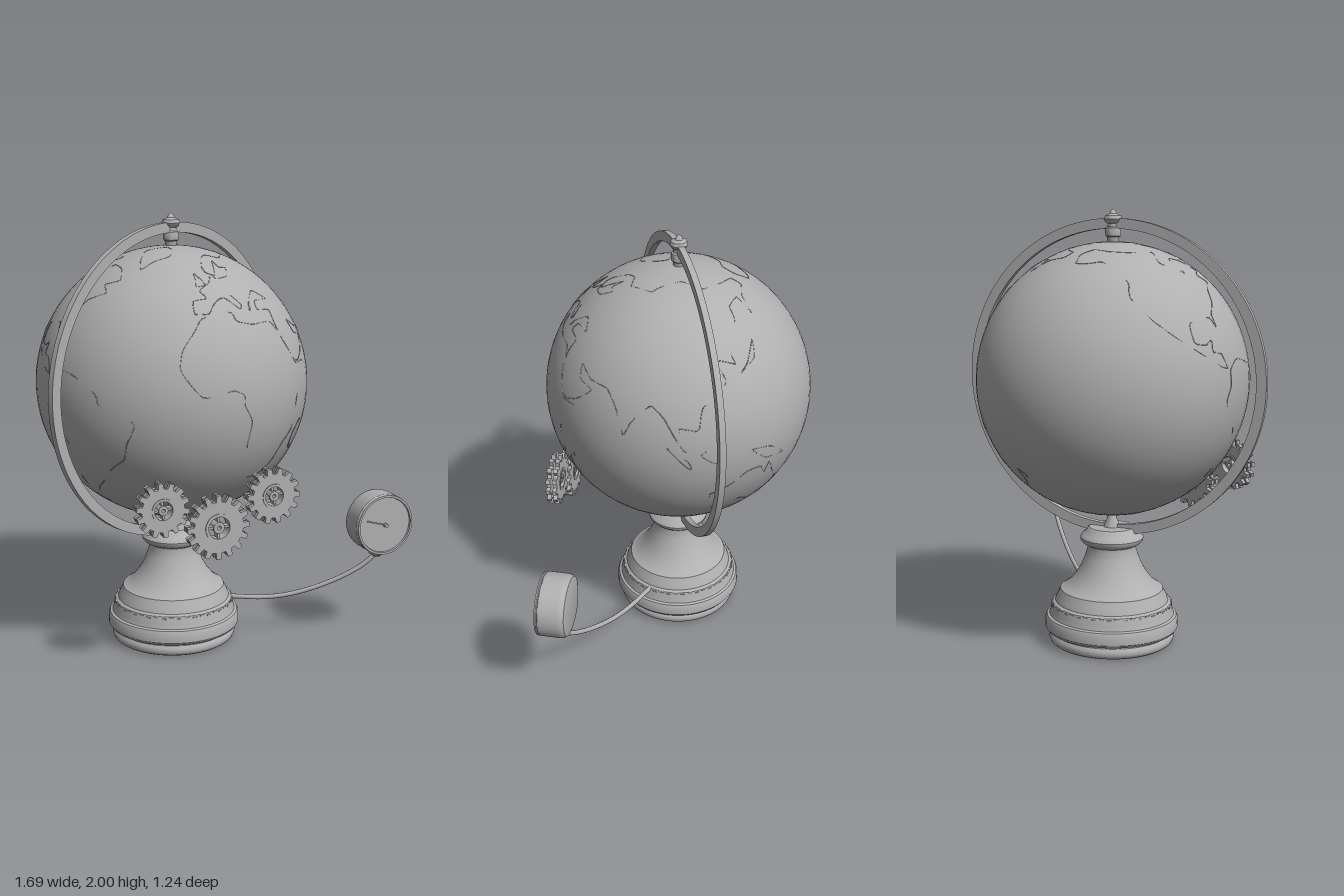
import * as THREE from 'three';
import { toCreasedNormals } from 'three/addons/utils/BufferGeometryUtils.js';

const AXIS_X = -0.187, GLOBE_Y = 1.237, GLOBE_R = 0.62;

export function createModel() {
  const model = new THREE.Group();
  const grey = new THREE.MeshStandardMaterial({ color: 0xb0b0b0 });
  grey.name = 'plain grey';

  const add = (name, geometry, x = 0, y = 0, z = 0, parent = model) => {
    const mesh = new THREE.Mesh(geometry, grey);
    mesh.name = name;
    mesh.position.set(x, y, z);
    parent.add(mesh);
    return mesh;
  };
  const lathe = (points, segments = 64) => toCreasedNormals(
    new THREE.LatheGeometry(points.map(([r, y]) => new THREE.Vector2(r, y)), segments), 0.6);
  const extrude = (shape, depth, curveSegments = 24) => toCreasedNormals(
    new THREE.ExtrudeGeometry(shape, { depth, bevelEnabled: false, curveSegments }), 0.5);
  const circleHole = (shape, r) => {
    shape.holes.push(new THREE.Path().absarc(0, 0, r, 0, Math.PI * 2, true));
    return shape;
  };

  // Turned base: two rounded plinth mouldings, steps, flared body and collar
  add('base', lathe([
    [0, 0], [0.275, 0], [0.287, 0.008], [0.293, 0.022], [0.291, 0.038], [0.282, 0.05],
    [0.282, 0.058], [0.302, 0.062], [0.311, 0.075], [0.311, 0.115], [0.304, 0.13],
    [0.292, 0.135], [0.285, 0.155], [0.282, 0.178], [0.277, 0.19], [0.264, 0.198],
    [0.258, 0.215], [0.248, 0.235], [0.24, 0.255], [0.222, 0.264], [0.192, 0.29],
    [0.165, 0.325], [0.142, 0.365], [0.124, 0.41], [0.113, 0.445], [0.114, 0.462], [0.133, 0.472],
    [0.145, 0.485], [0.147, 0.498], [0.137, 0.515], [0.118, 0.528], [0.113, 0.54], [0.105, 0.547], [0, 0.547],
  ], 72), AXIS_X);

  // Raised cord around the base
  const cord = new THREE.Group();
  cord.name = 'baseCord';
  cord.position.set(AXIS_X, 0.183, 0);
  model.add(cord);
  const bead = new THREE.BoxGeometry(0.022, 0.007, 0.006);
  for (let i = 0; i < 48; i++) {
    const a = i / 48 * Math.PI * 2;
    add('cordStitch', bead, Math.sin(a) * 0.28, i % 2 ? 0.003 : -0.003, Math.cos(a) * 0.28, cord).rotation.y = a;
  }

  // Globe
  add('globe', new THREE.SphereGeometry(GLOBE_R, 72, 48), AXIS_X, GLOBE_Y);

  // Fine raised coastlines, [longitude, latitude] in degrees
  const onGlobe = ([lon, lat]) => new THREE.Vector3().setFromSphericalCoords(
    GLOBE_R, THREE.MathUtils.degToRad(90 - lat), THREE.MathUtils.degToRad(lon));
  const coasts = {
    africa: [[-6, 35], [10, 37], [11, 33], [20, 31], [32, 31], [37, 21], [43, 12], [51, 12], [41, -2],
      [40, -15], [35, -20], [32, -28], [26, -34], [18, -34], [12, -17], [13, -7], [9, 0], [9, 4],
      [4, 6], [-8, 4], [-13, 9], [-17, 15], [-16, 22], [-10, 30]],
    eurasia: [[-9, 37], [-9, 43], [-1, 44], [-4, 48], [4, 52], [9, 57], [11, 54], [21, 55], [29, 60],
      [22, 61], [24, 66], [17, 61], [12, 56], [6, 58], [6, 62], [15, 69], [26, 71], [40, 67], [45, 68],
      [68, 69], [73, 72], [104, 77], [130, 71], [160, 70], [179, 68], [178, 63], [163, 60], [156, 52],
      [157, 61], [143, 59], [140, 53], [128, 40], [129, 36], [126, 37], [118, 39], [122, 30], [110, 21],
      [108, 12], [100, 13], [103, 2], [98, 10], [94, 17], [88, 22], [80, 14], [77, 8], [73, 18], [67, 25],
      [57, 26], [49, 30], [51, 24], [59, 22], [52, 16], [44, 13], [35, 28], [36, 36], [27, 37], [29, 41],
      [40, 41], [32, 46], [23, 40], [22, 37], [14, 45], [18, 40], [16, 38], [9, 44], [3, 42], [-2, 37]],
    northAmerica: [[-80, 9], [-83, 15], [-88, 16], [-87, 21], [-91, 19], [-97, 20], [-97, 28], [-84, 30],
      [-81, 25], [-81, 31], [-75, 36], [-70, 42], [-60, 46], [-66, 50], [-56, 53], [-64, 60], [-78, 62],
      [-79, 52], [-94, 59], [-86, 68], [-115, 68], [-136, 69], [-156, 71], [-166, 66], [-162, 59],
      [-152, 59], [-140, 60], [-124, 48], [-124, 40], [-115, 30], [-106, 23], [-95, 16], [-84, 10]],
    southAmerica: [[-78, 8], [-72, 12], [-62, 10], [-51, 4], [-50, 0], [-35, -6], [-39, -15], [-41, -22],
      [-48, -27], [-57, -36], [-65, -42], [-68, -53], [-74, -50], [-73, -37], [-70, -18], [-81, -5], [-78, 2]],
    australia: [[114, -22], [122, -18], [130, -12], [137, -12], [140, -17], [142, -11], [146, -19],
      [153, -27], [150, -37], [140, -38], [132, -32], [117, -35]],
    antarctica: [[-60, -64], [-62, -74], [-30, -78], [0, -70], [50, -67], [100, -66], [140, -67],
      [170, -73], [-155, -78], [-100, -73]],
    greenland: [[-45, 60], [-53, 67], [-68, 76], [-40, 83], [-20, 80], [-22, 71], [-38, 66]],
    madagascar: [[49, -12], [47, -25], [44, -23], [44, -17]],
    britain: [[-5, 50], [1, 51], [-2, 56], [-4, 58], [-4, 54]],
    borneo: [[109, 1], [117, 7], [118, 1], [115, -4]],
    sumatra: [[95, 5], [104, -2], [105, -6], [100, -1]],
    newGuinea: [[131, -1], [141, -3], [150, -10], [139, -8]],
    japan: [[130, 32], [140, 36], [144, 43], [140, 40], [135, 35]],
    southernIsles: [[173, -35], [178, -38], [168, -46], [173, -41]],
  };
  for (const [name, points] of Object.entries(coasts)) {
    const path = new THREE.CatmullRomCurve3(points.map(onGlobe), true, 'catmullrom', 0.2);
    add(name + 'Coast', new THREE.TubeGeometry(path, points.length * 5, 0.002, 4, true), AXIS_X, GLOBE_Y);
  }

  // Meridian ring, turned about the vertical axis
  const ringShape = circleHole(new THREE.Shape().absarc(0, 0, 0.722, 0, Math.PI * 2), 0.676);
  const ringGeometry = extrude(ringShape, 0.028, 64).translate(0, 0, -0.014);
  add('meridianRing', ringGeometry, AXIS_X, GLOBE_Y).rotation.y = THREE.MathUtils.degToRad(25);

  // Top finial and lower pivot
  add('finial', lathe([
    [0, 1.85], [0.024, 1.85], [0.028, 1.875], [0.034, 1.88], [0.036, 1.9], [0.033, 1.915], [0.025, 1.92],
    [0.024, 1.935], [0.034, 1.942], [0.041, 1.955], [0.036, 1.97], [0.018, 1.978], [0.011, 1.992], [0, 2],
  ], 32), AXIS_X);
  add('lowerPivot', lathe([[0.04, 0.54], [0.034, 0.56], [0.022, 0.585], [0.016, 0.62], [0, 0.62]], 32), AXIS_X);

  // Gears: two toothed plates on a shared collar with cross spokes
  const gearShape = (radius, teeth) => {
    const shape = new THREE.Shape();
    const root = radius * 0.8, step = Math.PI * 2 / teeth;
    for (let i = 0; i < teeth; i++) {
      [[-0.3, root], [-0.19, radius], [0.19, radius], [0.3, root]].forEach(([offset, r], k) => {
        const a = (i + offset) * step + Math.PI / 2;
        shape[i + k === 0 ? 'moveTo' : 'lineTo'](Math.cos(a) * r, Math.sin(a) * r);
      });
    }
    shape.closePath();
    return circleHole(shape, radius * 0.4);
  };
  const addGear = (name, x, y, radius, teeth, turn) => {
    const gear = new THREE.Group();
    gear.name = name;
    gear.position.set(x, y, 0);
    gear.rotation.z = turn;
    model.add(gear);
    const plate = extrude(gearShape(radius, teeth), 0.02);
    add('frontPlate', plate, 0, 0, 0.549, gear);
    add('rearPlate', plate, 0, 0, 0.519, gear);
    const r = radius * 0.44;
    const collar = circleHole(new THREE.Shape().absarc(0, 0, r, 0, Math.PI * 2), r * 0.78);
    add('collar', extrude(collar, 0.056), 0, 0, 0.517, gear);
    const hub = circleHole(new THREE.Shape().absarc(0, 0, r * 0.4, 0, Math.PI * 2), r * 0.15);
    add('hub', extrude(hub, 0.05), 0, 0, 0.52, gear);
    const spoke = new THREE.BoxGeometry(r * 0.6, 0.01, 0.035);
    for (let i = 0; i < 4; i++) {
      const a = i * Math.PI / 2;
      add('spoke', spoke, Math.cos(a) * r * 0.6, Math.sin(a) * r * 0.6, 0.545, gear).rotation.z = a;
    }
  };
  addGear('rightGear', -0.44, 0.805, 0.119, 14, 0.1);
  addGear('middleGear', -0.188, 0.7, 0.143, 16, 0);
  addGear('leftGear', 0.07, 0.812, 0.124, 14, 0.2);

  // Gauge: rounded drum with a rim, recessed dial and needle
  const gauge = new THREE.Group();
  gauge.name = 'gauge';
  gauge.position.set(0.695, 0.572, 0);
  model.add(gauge);
  add('gaugeCase', lathe([
    [0, 0.326], [0.115, 0.327], [0.134, 0.332], [0.143, 0.345], [0.145, 0.36], [0.145, 0.448],
    [0.142, 0.452], [0.145, 0.456], [0.143, 0.464], [0.133, 0.464], [0.131, 0.455], [0, 0.455],
  ]), 0, 0, 0, gauge).rotation.x = Math.PI / 2;
  add('needle', new THREE.BoxGeometry(0.1, 0.006, 0.004), -0.047, 0.014, 0.462, gauge).rotation.z = -0.28;
  add('needlePin', new THREE.CylinderGeometry(0.009, 0.009, 0.022, 20), 0, 0, 0.465, gauge).rotation.x = Math.PI / 2;

  // Stem flange and curved feed pipe
  add('gaugeFlange', lathe([
    [0, 0.4], [0.018, 0.4], [0.025, 0.409], [0.038, 0.414], [0.038, 0.423], [0.024, 0.432], [0, 0.435],
  ], 32), 0.695, 0, 0.39);
  const pipePath = new THREE.CatmullRomCurve3([
    [0.02, 0.186], [0.1, 0.183], [0.2, 0.181], [0.31, 0.196], [0.43, 0.235], [0.56, 0.3], [0.64, 0.357], [0.695, 0.415],
  ].map(([x, y]) => new THREE.Vector3(x, y, 0.106 + (x - 0.08) * 0.462)));
  add('feedPipe', new THREE.TubeGeometry(pipePath, 48, 0.011, 14, false));

  return model;
}
